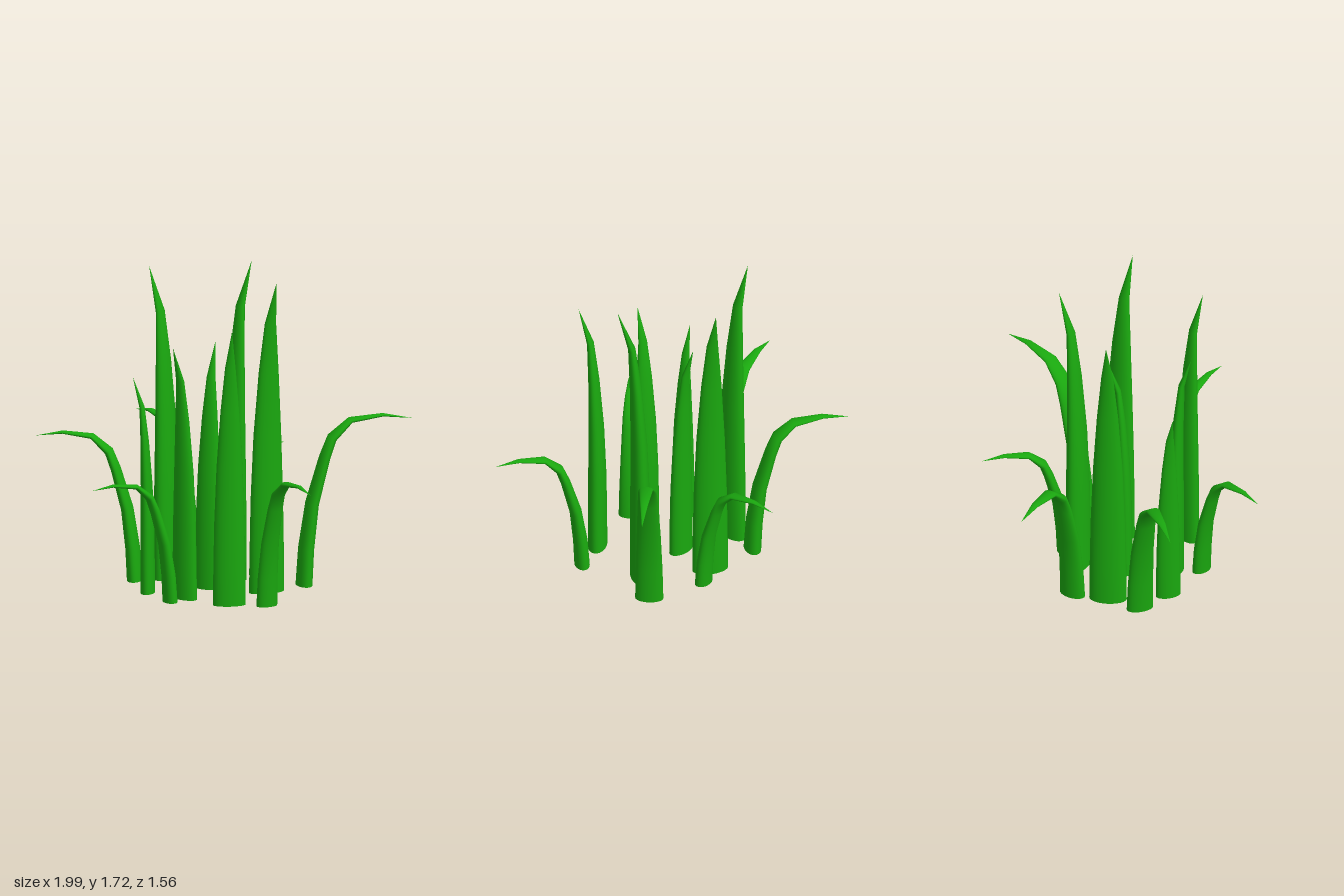
import * as THREE from 'three';

// Blade profiles, one row per ring: [outward fraction, height fraction, width fraction, thickness fraction]
const UPRIGHT = [
  [0, 0, 1, 1], [0.01, 0.15, 0.97, 0.98], [0.02, 0.3, 0.92, 0.94], [0.07, 0.5, 0.79, 0.8],
  [0.2, 0.7, 0.57, 0.58], [0.38, 0.86, 0.32, 0.36], [1, 1, 0, 0],
];
const DROOPING = [
  [0, 0, 1, 1], [0.02, 0.22, 0.95, 0.95], [0.075, 0.49, 0.85, 0.8], [0.19, 0.76, 0.73, 0.65],
  [0.26, 0.88, 0.66, 0.58], [0.43, 0.98, 0.5, 0.35], [0.73, 1, 0.27, 0.2], [1, 0.97, 0, 0],
];

// [base x, base z, tip x, tip z, base y, peak y, half width, half thickness]
const uprightBlades = [
  [-0.31, -0.2, -0.41, -0.25, 0.01, 1.69, 0.1, 0.055],
  [0.04, -0.235, 0.13, -0.31, 0.01, 1.72, 0.098, 0.055],
  [0.25, 0.075, 0.315, 0.18, 0.01, 1.72, 0.1, 0.055],
  [-0.07, -0.015, -0.04, -0.1, 0, 1.33, 0.077, 0.045],
  [-0.38, 0.115, -0.46, 0.11, 0, 1.17, 0.068, 0.038],
  [-0.17, 0.235, -0.225, 0.31, 0, 1.38, 0.078, 0.045],
  [0.085, 0.4, 0.11, 0.5, 0.01, 1.52, 0.088, 0.05],
];
const droopingBlades = [
  [-0.215, -0.365, -0.535, -0.78, 0.02, 0.81, 0.073, 0.045],
  [0.178, -0.26, 0.26, -0.7, 0.02, 0.665, 0.058, 0.04],
  [0.435, -0.06, 0.99, -0.27, 0.02, 0.92, 0.075, 0.042],
  [0.285, 0.4, 0.56, 0.78, 0.01, 0.725, 0.06, 0.04],
  [-0.235, 0.36, -0.635, 0.53, 0.01, 0.66, 0.058, 0.038],
  [-0.47, -0.08, -1, -0.11, 0.02, 0.81, 0.073, 0.04],
];

// Elliptical rings swept along a curve that bends outward from base to tip
function bladeGeometry([bx, bz, tx, tz, y0, y1, width, thick], profile) {
  const SIDES = 24;
  const reach = Math.hypot(tx - bx, tz - bz);
  const dx = (tx - bx) / reach, dz = (tz - bz) / reach;
  const path = profile.map(([r, h]) => new THREE.Vector2(r * reach, y0 + h * (y1 - y0)));
  const pos = [], index = [];

  const addRing = (i) => {
    // Ring lies across the path; the first stays level with the ground
    const prev = path[Math.max(i - 1, 0)], next = path[Math.min(i + 1, path.length - 1)];
    const t = i === 0 ? new THREE.Vector2(0, 1) : next.clone().sub(prev).normalize();
    for (let j = 0; j < SIDES; j++) {
      const a = (j / SIDES) * Math.PI * 2;
      const s = Math.cos(a) * width * profile[i][2];
      const n = Math.sin(a) * thick * profile[i][3];
      const out = path[i].x + n * t.y;
      pos.push(bx + dx * out - dz * s, path[i].y - n * t.x, bz + dz * out + dx * s);
    }
  };

  // Skin
  path.forEach((_, i) => addRing(i));
  for (let i = 0; i < path.length - 1; i++) {
    for (let j = 0; j < SIDES; j++) {
      const k = (j + 1) % SIDES;
      const a = i * SIDES + j, b = i * SIDES + k;
      const c = b + SIDES, d = a + SIDES;
      index.push(a, b, d);
      if (i < path.length - 2) index.push(b, c, d);
    }
  }

  // Flat bottom cap with its own vertices to keep the rim sharp
  const start = pos.length / 3;
  addRing(0);
  pos.push(bx, y0, bz);
  for (let j = 0; j < SIDES; j++) index.push(start + SIDES, start + ((j + 1) % SIDES), start + j);

  const geo = new THREE.BufferGeometry();
  geo.setAttribute('position', new THREE.Float32BufferAttribute(pos, 3));
  geo.setIndex(index);
  geo.computeVertexNormals();
  return geo;
}

export function createModel() {
  const model = new THREE.Group();
  model.name = 'grassTuft';
  const green = new THREE.MeshStandardMaterial({ color: 0x1aa80f });

  const addBlades = (name, blades, profile) => {
    const group = new THREE.Group();
    group.name = name + 's';
    blades.forEach((blade, i) => {
      const mesh = new THREE.Mesh(bladeGeometry(blade, profile), green);
      mesh.name = name + (i + 1);
      group.add(mesh);
    });
    model.add(group);
  };

  // Tall blades in the middle, bent blades around the outside
  addBlades('uprightBlade', uprightBlades, UPRIGHT);
  addBlades('droopingBlade', droopingBlades, DROOPING);
  return model;
}
